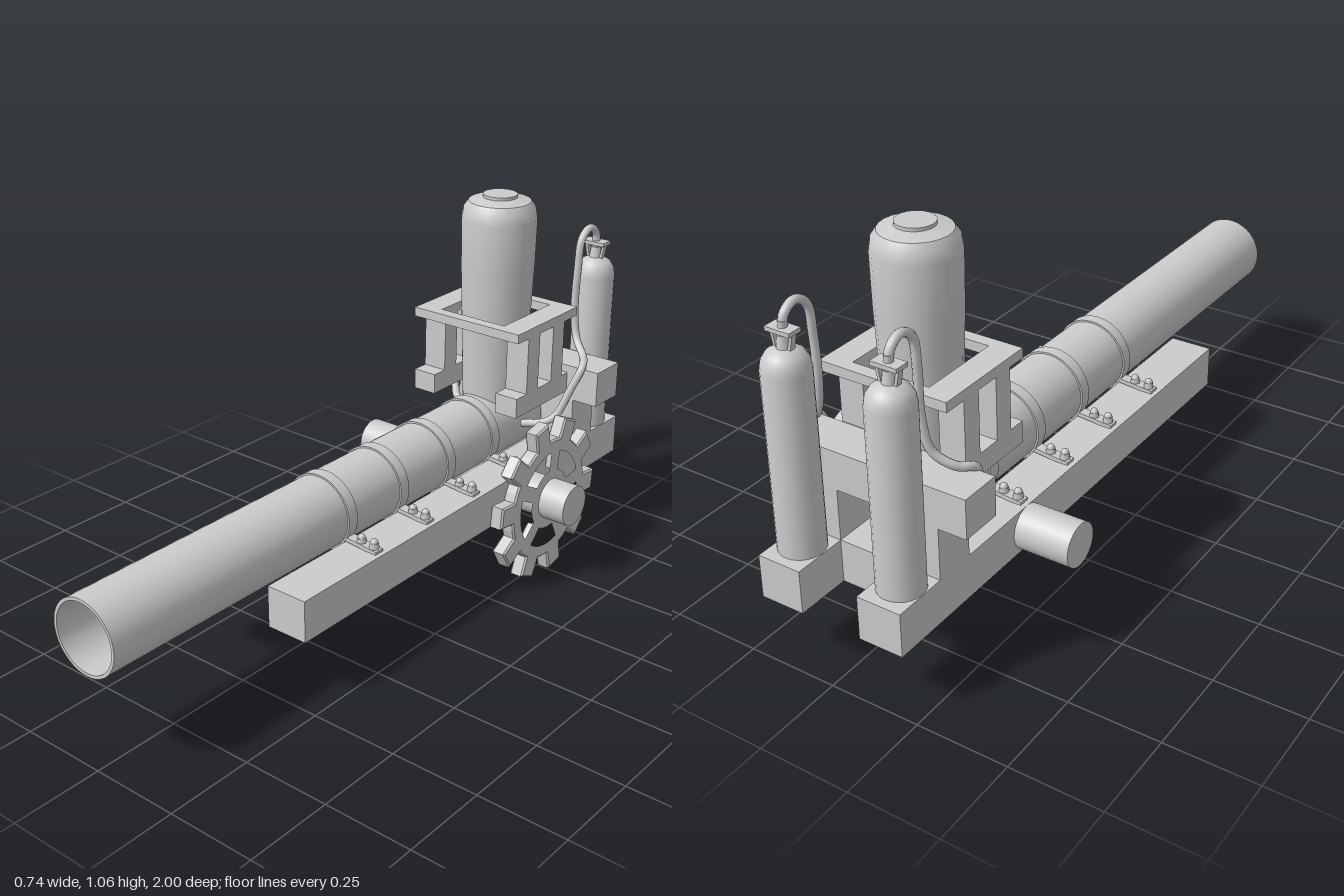
import * as THREE from 'three';
import { toCreasedNormals } from 'three/addons/utils/BufferGeometryUtils.js';

const CX = -0.01; // centre line of the barrel and carriage
const mat = new THREE.MeshStandardMaterial({ color: 0xcccccc });
const matDouble = new THREE.MeshStandardMaterial({ color: 0xcccccc, side: THREE.DoubleSide });

function add(parent, name, geo, x = 0, y = 0, z = 0, material = mat) {
  const m = new THREE.Mesh(geo, material);
  m.name = name;
  m.position.set(x, y, z);
  parent.add(m);
  return m;
}

// box given by its limits on each axis
function block(parent, name, x0, x1, y0, y1, z0, z1) {
  return add(parent, name, new THREE.BoxGeometry(x1 - x0, y1 - y0, z1 - z0),
    (x0 + x1) / 2, (y0 + y1) / 2, (z0 + z1) / 2);
}

function lathe(points, segments = 32) {
  const geo = new THREE.LatheGeometry(points.map(p => new THREE.Vector2(p[0], p[1])), segments);
  return toCreasedNormals(geo, 0.6);
}

function makeBarrel(root) {
  const tube = lathe([[0, -0.73], [0.103, -0.73], [0.103, 1], [0.094, 1], [0.094, -0.68], [0, -0.68]], 40);
  tube.rotateX(Math.PI / 2);
  add(root, 'barrel', tube, CX, 0.372, 0, matDouble);

  // clamp bands with bolted feet
  for (const z of [0.165, -0.055, -0.27, -0.485]) {
    const clamp = new THREE.Group();
    clamp.name = 'barrelClamp';
    clamp.position.set(CX, 0, z);
    const band = lathe([[0.102, -0.017], [0.108, -0.017], [0.108, 0.017], [0.102, 0.017]], 40);
    band.rotateX(Math.PI / 2);
    add(clamp, 'band', band, 0, 0.372, 0, matDouble);
    for (const s of [-1, 1]) {
      const foot = add(clamp, 'clampFoot', new THREE.BoxGeometry(0.11, 0.012, 0.03), s * 0.14, 0.314, 0);
      foot.rotation.z = -s * 0.1;
      for (const x of [0.135, 0.178]) {
        add(clamp, 'bolt', new THREE.CylinderGeometry(0.012, 0.014, 0.016, 8), s * x, 0.324, 0);
        add(clamp, 'boltHead', new THREE.SphereGeometry(0.011, 10, 6), s * x, 0.333, 0);
      }
    }
    root.add(clamp);
  }
}

function makeCarriage(root) {
  for (const s of [-1, 1]) {
    const a = CX + s * 0.085, b = CX + s * 0.208;
    const x0 = Math.min(a, b), x1 = Math.max(a, b);
    block(root, 'rail', x0, x1, 0.187, 0.306, -1, 0.475);
    block(root, 'rearUpright', x0, x1, 0.306, 0.447, -0.85, -0.735);
  }
  block(root, 'rearCrosspiece', CX - 0.085, CX + 0.085, 0.187, 0.306, -0.85, -0.735);
  block(root, 'rearBeam', CX - 0.287, CX + 0.287, 0.447, 0.553, -0.85, -0.735);

  const axle = add(root, 'axle', new THREE.CylinderGeometry(0.06, 0.06, 0.743, 32), 0, 0.246, -0.49);
  axle.rotation.z = Math.PI / 2;
}

// cog wheel: ten teeth, five windows between the spokes
function makeWheel(root) {
  const shape = new THREE.Shape();
  const polar = (r, a) => [r * Math.sin(a), r * Math.cos(a)];
  const deg = Math.PI / 180;
  for (let i = 0; i < 10; i++) {
    const a = (-12 + i * 36) * deg;
    const corners = [[0.178, -9], [0.235, -6.5], [0.235, 6.5], [0.178, 9], [0.178, 18]];
    corners.forEach(([r, d], k) => {
      const p = polar(r, a + d * deg);
      if (i === 0 && k === 0) shape.moveTo(...p);
      else shape.lineTo(...p);
    });
  }
  for (let i = 0; i < 5; i++) {
    const mid = (-27 + i * 72) * deg, pts = [];
    for (let k = 0; k <= 6; k++) pts.push(new THREE.Vector2(...polar(0.145, mid + (k / 3 - 1) * 27 * deg)));
    for (let k = 6; k >= 0; k--) pts.push(new THREE.Vector2(...polar(0.09, mid + (k / 3 - 1) * 22 * deg)));
    shape.holes.push(new THREE.Path(pts));
  }
  const geo = new THREE.ExtrudeGeometry(shape, {
    depth: 0.032, bevelEnabled: true, bevelThickness: 0.005, bevelSize: 0.005, bevelSegments: 1,
  });
  geo.translate(0, 0, -0.016);
  geo.rotateY(Math.PI / 2);
  add(root, 'cogWheel', geo, 0.269, 0.246, -0.485);
}

function makeTower(root) {
  const z = -0.617;
  add(root, 'upperVessel', lathe([[0, 0.37], [0.088, 0.37], [0.092, 0.47], [0.1, 0.68], [0.107, 0.86],
    [0.109, 1.0], [0.104, 1.03], [0.09, 1.05], [0.05, 1.06], [0.05, 1.069], [0, 1.069]], 24), CX, 0, z);

  // square collar with an opening for the vessel
  const shape = new THREE.Shape([[-0.183, -0.152], [0.183, -0.152], [0.183, 0.152], [-0.183, 0.152]]
    .map(p => new THREE.Vector2(...p)));
  shape.holes.push(new THREE.Path([[-0.11, -0.117], [-0.11, 0.117], [0.11, 0.117], [0.11, -0.117]]
    .map(p => new THREE.Vector2(...p))));
  const collar = new THREE.ExtrudeGeometry(shape, { depth: 0.027, bevelEnabled: false });
  collar.rotateX(-Math.PI / 2);
  add(root, 'collar', collar, CX, 0.7, z);

  // legs and feet on both sides
  for (const s of [-1, 1]) {
    const x = CX + s * 0.1465;
    for (const lz of [-0.548, -0.675]) {
      add(root, 'collarLeg', new THREE.BoxGeometry(0.073, 0.18, 0.058), x, 0.615, lz);
    }
    add(root, 'collarFoot', new THREE.BoxGeometry(0.073, 0.06, 0.27), x, 0.5, -0.605);
  }
}

// pressure bottle with valve and hose, s = side
function makeBottle(root, s) {
  const g = new THREE.Group();
  g.name = 'pressureBottle';
  const x = s * 0.147, z = -0.915;
  g.position.x = CX;
  add(g, 'bottle', lathe([[0, 0.305], [0.06, 0.305], [0.06, 0.785], [0.056, 0.808], [0.045, 0.826],
    [0.025, 0.838], [0, 0.84]], 24), x, 0, z);
  add(g, 'valveNeck', new THREE.CylinderGeometry(0.014, 0.02, 0.04, 12), x, 0.85, z);
  add(g, 'valveStem', new THREE.CylinderGeometry(0.011, 0.011, 0.05, 12), x, 0.88, z);
  add(g, 'valveHandle', new THREE.BoxGeometry(0.072, 0.011, 0.04), x, 0.883, z);
  for (const t of [-1, 1]) {
    const strut = add(g, 'valveStrut', new THREE.BoxGeometry(0.008, 0.052, 0.016), x + t * 0.025, 0.857, z);
    strut.rotation.z = -t * 0.2;
  }
  const path = [[0.147, 0.87, -0.915], [0.147, 0.915, -0.908], [0.147, 0.936, -0.872], [0.147, 0.91, -0.832],
    [0.147, 0.83, -0.82], [0.147, 0.7, -0.815], [0.165, 0.615, -0.805], [0.21, 0.575, -0.775],
    [0.233, 0.56, -0.735], [0.215, 0.49, -0.703], [0.185, 0.41, -0.68], [0.16, 0.39, -0.655], [0.09, 0.378, -0.625]];
  const curve = new THREE.CatmullRomCurve3(path.map(p => new THREE.Vector3(s * p[0], p[1], p[2])));
  add(g, 'hose', new THREE.TubeGeometry(curve, 80, 0.0115, 10), 0, 0, 0, matDouble);
  root.add(g);
}

export function createModel() {
  const root = new THREE.Group();
  root.name = 'cannon';
  makeBarrel(root);
  makeCarriage(root);
  makeWheel(root);
  makeTower(root);
  for (const s of [-1, 1]) makeBottle(root, s);
  return root;
}
